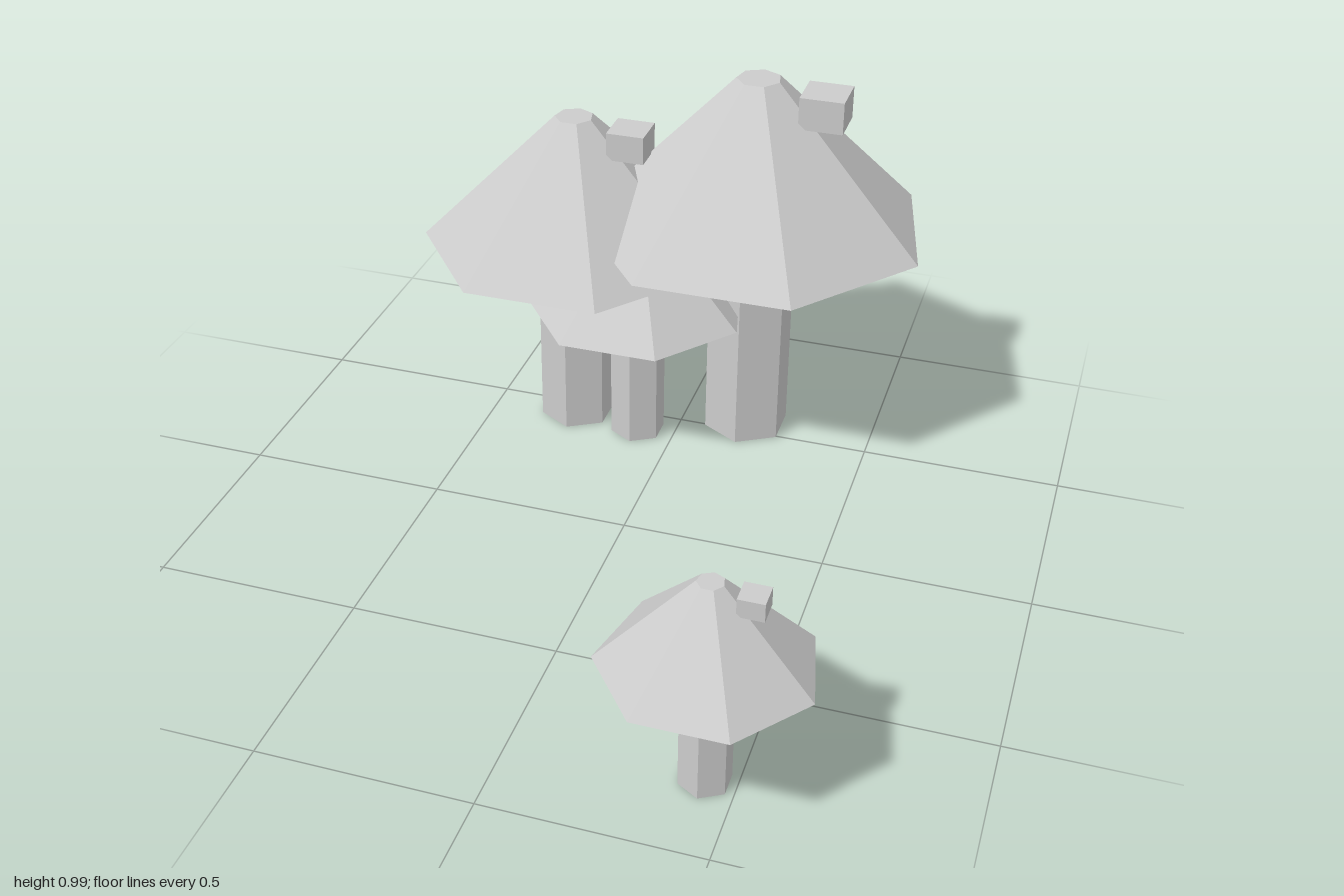
import * as THREE from 'three';

const material = new THREE.MeshStandardMaterial({ color: 0xcccccc, flatShading: true });

// Sizes of the largest mushroom; the others are scaled copies
const STEM_HEIGHT = 0.595;
const CAP_HEIGHT = 0.393;

const stemGeometry = new THREE.CylinderGeometry(0.112, 0.112, STEM_HEIGHT, 6);
const capGeometry = new THREE.CylinderGeometry(0.056, 0.448, CAP_HEIGHT, 7, 1, false, Math.PI);
const spotGeometry = new THREE.BoxGeometry(0.11, 0.082, 0.11);

function addPart(group, name, geometry, x, y) {
  const mesh = new THREE.Mesh(geometry, material);
  mesh.name = name;
  mesh.position.set(x, y, 0);
  group.add(mesh);
}

function createMushroom(name, x, z, scale) {
  const mushroom = new THREE.Group();
  mushroom.name = name;
  // Six-sided stem, seven-sided cap and a square spot on the left slope
  addPart(mushroom, 'stem', stemGeometry, 0, STEM_HEIGHT / 2);
  addPart(mushroom, 'cap', capGeometry, 0, STEM_HEIGHT + CAP_HEIGHT / 2);
  addPart(mushroom, 'spot', spotGeometry, 0.168, 0.933);
  mushroom.position.set(x, 0, z);
  mushroom.scale.setScalar(scale);
  return mushroom;
}

export function createModel() {
  const model = new THREE.Group();
  model.name = 'mushroomCluster';
  model.add(
    createMushroom('largeMushroom', 0.165, -0.552, 1),
    createMushroom('mediumMushroom', -0.282, -0.47, 0.872),
    createMushroom('hiddenMushroom', -0.101, -0.43, 0.638),
    createMushroom('smallMushroom', 0.43, 0.787, 0.525)
  );
  return model;
}
